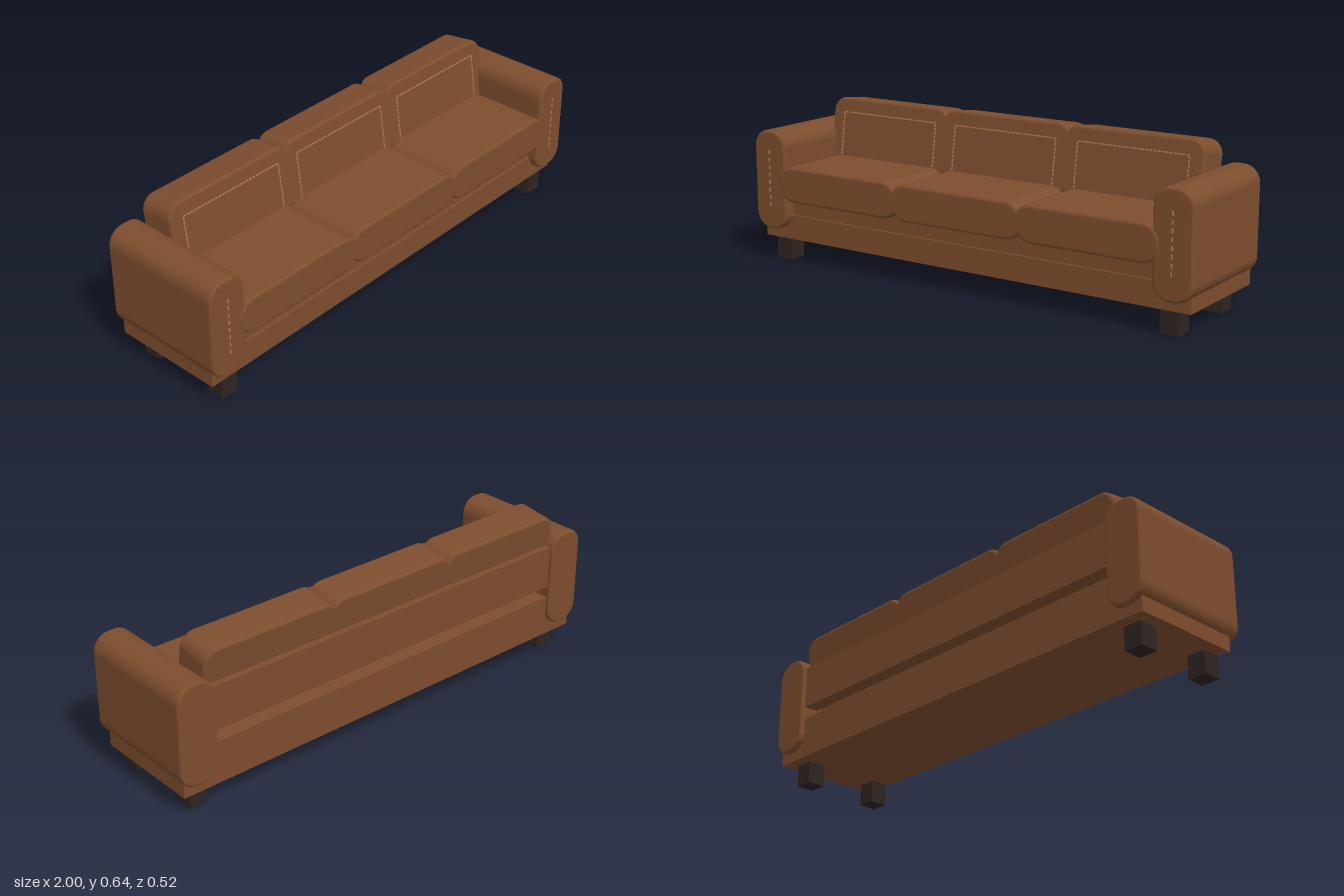
import * as THREE from 'three';

const leather = new THREE.MeshStandardMaterial({ color: 0x7d4d2e });
leather.name = 'brown leather';
const thread = new THREE.MeshStandardMaterial({ color: 0xb07a52 });
thread.name = 'tan thread';
const wood = new THREE.MeshStandardMaterial({ color: 0x2e2423 });
wood.name = 'dark wood';

function box(parent, name, mat, w, h, d, x, y, z) {
  const mesh = new THREE.Mesh(new THREE.BoxGeometry(w, h, d), mat);
  mesh.name = name;
  mesh.position.set(x, y, z);
  parent.add(mesh);
  return mesh;
}

// Rounded rectangle in x-y, extruded along z with a small bevel; w, h, d are outer sizes
function padGeometry(w, h, d, r, bevel) {
  const a = w / 2 - bevel, b = h / 2 - bevel, c = r - bevel;
  const s = new THREE.Shape();
  s.moveTo(a, -b + c);
  s.absarc(a - c, b - c, c, 0, Math.PI / 2, false);
  s.absarc(-a + c, b - c, c, Math.PI / 2, Math.PI, false);
  s.absarc(-a + c, -b + c, c, Math.PI, Math.PI * 1.5, false);
  s.absarc(a - c, -b + c, c, Math.PI * 1.5, Math.PI * 2, false);
  const geo = new THREE.ExtrudeGeometry(s, {
    depth: d - 2 * bevel, bevelEnabled: true, bevelSize: bevel,
    bevelThickness: bevel, bevelSegments: 4, curveSegments: 10,
  });
  geo.translate(0, 0, bevel - d / 2);
  return geo;
}

function pad(parent, name, size, r, bevel, x, y, z) {
  const mesh = new THREE.Mesh(padGeometry(...size, r, bevel), leather);
  mesh.name = name;
  mesh.position.set(x, y, z);
  parent.add(mesh);
  return mesh;
}

// Row of stitches between two points on a plane facing +z
function stitches(parent, name, x0, y0, x1, y1, z, count, fill) {
  const row = new THREE.Group();
  row.name = name;
  const across = Math.abs(x1 - x0) > Math.abs(y1 - y0);
  const len = Math.hypot(x1 - x0, y1 - y0) / count * fill;
  for (let i = 0; i < count; i++) {
    const t = (i + 0.5) / count;
    box(row, 'stitch', thread, across ? len : 0.005, across ? 0.005 : len, 0.005,
      x0 + (x1 - x0) * t, y0 + (y1 - y0) * t, z);
  }
  parent.add(row);
}

export function createModel() {
  const sofa = new THREE.Group();
  sofa.name = 'sofa';

  // Frame: plinth, seat deck and raised back panel
  box(sofa, 'base', leather, 1.96, 0.1, 0.46, 0, 0.14, -0.01);
  box(sofa, 'seatDeck', leather, 1.72, 0.07, 0.45, 0, 0.225, -0.015);
  box(sofa, 'backPanel', leather, 1.72, 0.175, 0.06, 0, 0.3975, -0.214);

  for (const side of [-1, 1]) {
    // Arm with its front seam
    const name = side > 0 ? 'leftArm' : 'rightArm';
    pad(sofa, name, [0.16, 0.406, 0.516], 0.068, 0.012, side * 0.92, 0.333, -0.002);
    stitches(sofa, name + 'Stitching', side * 0.92, 0.217, side * 0.92, 0.463, 0.2575, 8, 0.5);

    // Block legs
    for (const z of [0.175, -0.155]) {
      box(sofa, z > 0 ? 'frontLeg' : 'backLeg', wood, 0.075, 0.095, 0.076, side * 0.893, 0.0475, z);
    }
  }

  for (const i of [-1, 0, 1]) {
    // Seat cushion
    pad(sofa, 'seatCushion', [0.6, 0.146, 0.42], 0.07, 0.012, i * 0.57, 0.326, 0.051);

    // Leaning back cushion with a stitched frame
    const back = new THREE.Group();
    back.name = 'backCushion';
    back.position.set(i * 0.567, 0.489, -0.143);
    back.rotation.x = -0.14;
    pad(back, 'backCushionPad', [0.59, 0.28, 0.148], 0.058, 0.012, 0, 0, 0);
    stitches(back, 'topStitching', -0.235, 0.08, 0.235, 0.08, 0.0745, 28, 0.7);
    for (const side of [-1, 1]) {
      stitches(back, 'sideStitching', side * 0.235, -0.1, side * 0.235, 0.08, 0.0745, 11, 0.7);
    }
    sofa.add(back);
  }

  return sofa;
}
